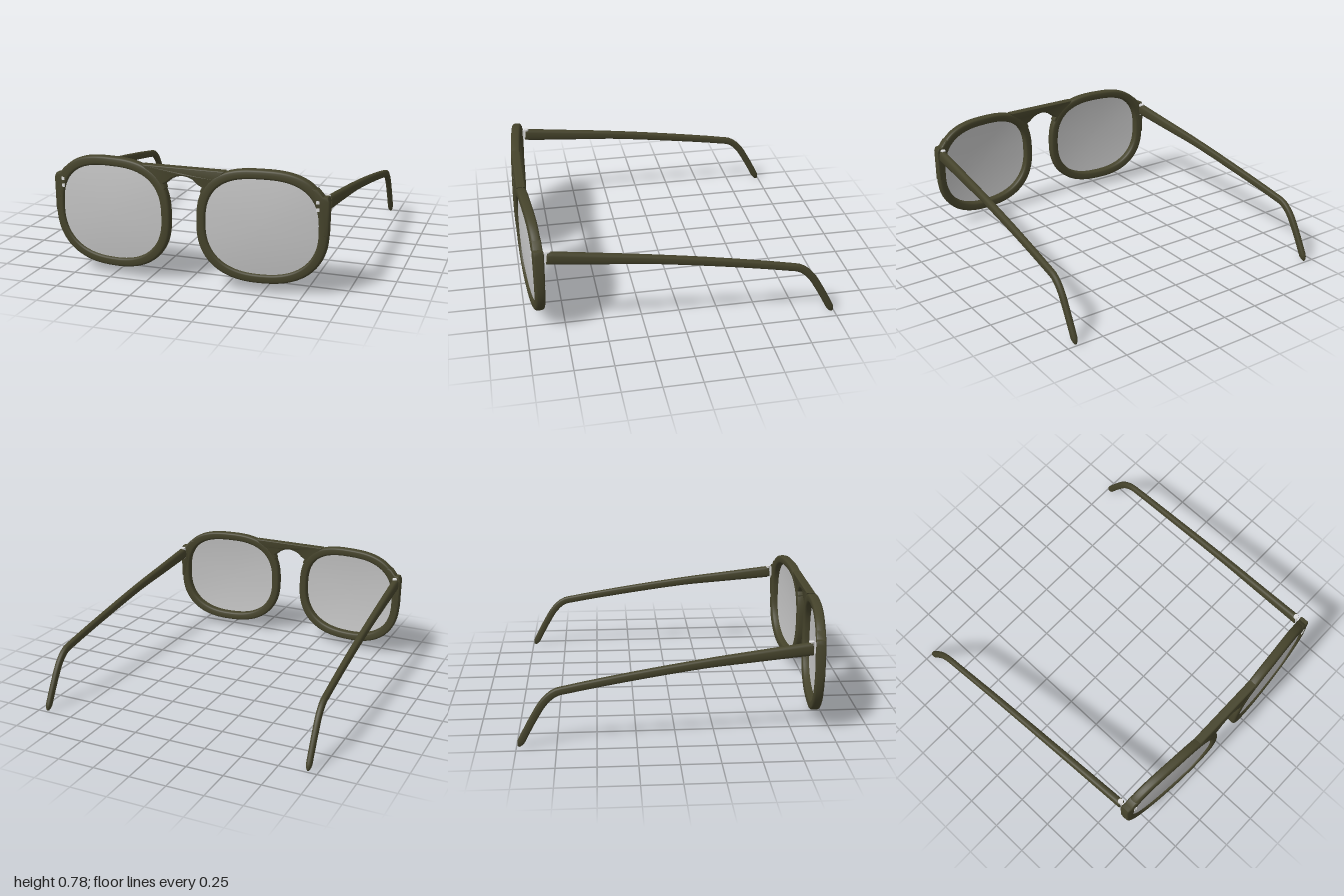
import * as THREE from 'three';
import { toCreasedNormals } from 'three/addons/utils/BufferGeometryUtils.js';

const olive = new THREE.MeshStandardMaterial({ color: 0x45432b });
olive.name = 'olive acetate';
const grey = new THREE.MeshStandardMaterial({ color: 0xc2c2c2, side: THREE.DoubleSide });
grey.name = 'lens grey';
const metal = new THREE.MeshStandardMaterial({ color: 0xdcdcdc });
metal.name = 'pale metal';

// Middle depth of the wrapped front at a given place
const bend = (x, y) => 0.968 - 0.083 * x * x - 0.1 * (y - 0.45) ** 2;
const power = (v, p) => Math.sign(v) * Math.abs(v) ** p;

// Soft lens outline; k = 0 is the lens opening, k = 1 the outer rim edge
function outline(angle, k, scale = 1) {
  const c = Math.cos(angle), s = Math.sin(angle);
  const p = 2 / (s > 0 ? 2.7 : 2.4);
  return [
    0.493 + scale * (0.3475 + 0.06 * k) * power(c, p),
    0.43 + scale * (0.3 + 0.06 * k) * power(s, p),
  ];
}

// Skin over rings of points; every ring is a closed loop
function loft(rings, closed = false) {
  const n = rings[0].length, m = rings.length, index = [];
  for (let i = 0; i < (closed ? m : m - 1); i++) {
    for (let j = 0; j < n; j++) {
      const i2 = (i + 1) % m, j2 = (j + 1) % n;
      const a = i * n + j, b = i2 * n + j, c = i2 * n + j2, d = i * n + j2;
      index.push(a, b, c, a, c, d);
    }
  }
  const geo = new THREE.BufferGeometry();
  geo.setAttribute('position', new THREE.Float32BufferAttribute(rings.flat(2), 3));
  geo.setIndex(index);
  geo.computeVertexNormals();
  return geo;
}

const ring = (n, fn) => Array.from({ length: n }, (_, i) => fn((i / n) * Math.PI * 2));

function rimGeometry() {
  return loft(ring(96, (u) => ring(20, (v) => {
    const [x, y] = outline(u, 0.5 + 0.5 * power(Math.cos(v), 0.6));
    return [x, y, bend(x, y) + 0.032 * power(Math.sin(v), 0.6)];
  })), true);
}

function lensGeometry() {
  const rings = [];
  for (let i = 0; i <= 10; i++) {
    const r = 0.001 + (i / 10) * 1.02;
    rings.push(ring(96, (u) => {
      const [x, y] = outline(u, 0, r);
      return [x, y, bend(x, y) + 0.014 + 0.01 * (1 - r * r)];
    }));
  }
  return loft(rings);
}

// Flat piece of the front, rounded at its edges and wrapped like the rims
function plateGeometry(shape, depth) {
  const bevel = 0.01;
  const geo = new THREE.ExtrudeGeometry(shape, {
    depth: depth - 2 * bevel, bevelThickness: bevel, bevelSize: bevel,
    bevelOffset: -bevel, bevelSegments: 3, curveSegments: 10,
  });
  const pos = geo.attributes.position;
  for (let i = 0; i < pos.count; i++) {
    const x = pos.getX(i), y = pos.getY(i);
    pos.setZ(i, pos.getZ(i) - depth / 2 + bevel + bend(x, y));
  }
  geo.computeVertexNormals();
  return toCreasedNormals(geo, 0.7);
}

// Bar along the top with the nose arch cut below it
function bridgeGeometry() {
  const half = [[0.27, 0.765], [0.22, 0.7], [0.17, 0.64], [0.13, 0.59], [0.112, 0.63],
    [0.124, 0.655], [0.1, 0.668], [0.07, 0.695], [0.035, 0.71]];
  const points = [...half, [0, 0.715], ...half.map(([x, y]) => [-x, y]).reverse()];
  return plateGeometry(new THREE.Shape(points.map((p) => new THREE.Vector2(...p))), 0.058);
}

// Corner that carries the hinge
function endPieceGeometry() {
  const points = [[0.79, 0.7], [0.835, 0.6], [0.85, 0.5], [0.87, 0.4], [0.9, 0.4],
    [0.904, 0.62], [0.892, 0.646], [0.865, 0.648], [0.83, 0.69]];
  return plateGeometry(new THREE.Shape(points.map((p) => new THREE.Vector2(...p))), 0.064);
}

// Tapering arm that bends down behind the ear
function templeGeometry() {
  const path = new THREE.CatmullRomCurve3([
    [0.875, 0.593, 0.852], [0.887, 0.555, 0.5], [0.898, 0.522, 0.2], [0.913, 0.456, -0.25],
    [0.929, 0.385, -0.66], [0.932, 0.364, -0.75], [0.934, 0.305, -0.82],
    [0.936, 0.2, -0.887], [0.938, 0.012, -0.987],
  ].map((p) => new THREE.Vector3(...p)), false, 'centripetal');
  const steps = 60, rings = [];
  const addRing = (t, size) => {
    const p = path.getPointAt(t), d = path.getTangentAt(t);
    const len = Math.hypot(d.y, d.z);
    const h = size * (t < 0.33 ? 0.043 - 0.04 * t : 0.0298 - 0.009 * (t - 0.33));
    const w = size * (0.026 - 0.008 * t);
    rings.push(ring(16, (v) => {
      const up = h * power(Math.sin(v), 0.75);
      return [p.x + w * power(Math.cos(v), 0.75), p.y - (up * d.z) / len, p.z + (up * d.y) / len];
    }));
  };
  addRing(0, 0.001);
  addRing(0, 0.94);
  for (let i = 0; i <= steps; i++) addRing(0.003 + (i / steps) * 0.977, 1);
  for (const [t, s] of [[0.988, 0.85], [0.995, 0.6], [1, 0.3], [1, 0.001]]) addRing(t, s);
  return loft(rings);
}

function addMesh(parent, name, geometry, material, x = 0, y = 0, z = 0) {
  const mesh = new THREE.Mesh(geometry, material);
  mesh.name = name;
  mesh.position.set(x, y, z);
  parent.add(mesh);
  return mesh;
}

export function createModel() {
  const glasses = new THREE.Group();
  glasses.name = 'glasses';
  addMesh(glasses, 'bridge', bridgeGeometry(), olive);

  const rim = rimGeometry(), lens = lensGeometry();
  const endPiece = endPieceGeometry(), temple = templeGeometry();
  const rivet = new THREE.BoxGeometry(0.02, 0.02, 0.008);
  const pin = new THREE.CylinderGeometry(0.017, 0.017, 0.085, 16);
  const leaf = new THREE.BoxGeometry(0.014, 0.07, 0.04);

  for (const side of [1, -1]) {
    const half = new THREE.Group();
    half.name = side > 0 ? 'leftHalf' : 'rightHalf';
    half.scale.x = side;
    addMesh(half, 'rim', rim, olive);
    addMesh(half, 'lens', lens, grey);
    addMesh(half, 'endPiece', endPiece, olive);
    addMesh(half, 'temple', temple, olive);
    // Hinge behind the end piece
    addMesh(half, 'hingePin', pin, metal, 0.872, 0.597, 0.842);
    addMesh(half, 'hingeLeaf', leaf, metal, 0.872, 0.595, 0.858);
    // Two rivets on the front
    for (const y of [0.615, 0.57]) {
      addMesh(half, 'rivet', rivet, metal, 0.836, y, bend(0.836, y) + 0.031).rotation.y = 0.14;
    }
    glasses.add(half);
  }
  return glasses;
}
